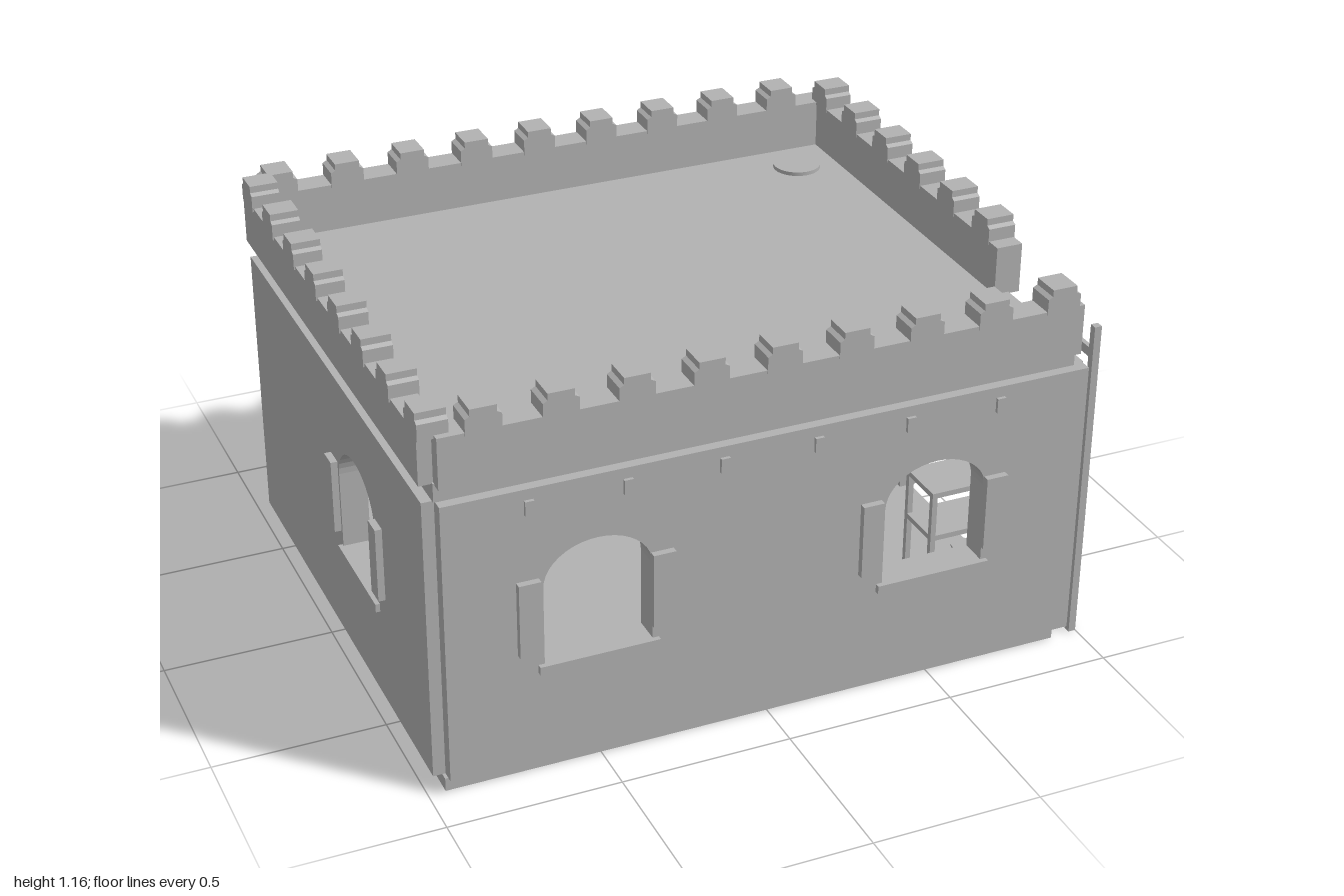
import * as THREE from 'three';

export function createModel() {
  const root = new THREE.Group();
  const stone = new THREE.MeshStandardMaterial({ color: 0xb2b2b2 });
  stone.name = 'stone grey';
  const cloth = new THREE.MeshStandardMaterial({ color: 0xb2b2b2, side: THREE.DoubleSide });
  cloth.name = 'cloth grey';

  const add = (name, geo, mat = stone) => {
    const m = new THREE.Mesh(geo, mat);
    m.name = name;
    root.add(m);
    return m;
  };
  // box from its minimum and maximum corners
  const box = (name, x0, x1, y0, y1, z0, z1) => {
    const m = add(name, new THREE.BoxGeometry(x1 - x0, y1 - y0, z1 - z0));
    m.position.set((x0 + x1) / 2, (y0 + y1) / 2, (z0 + z1) / 2);
    return m;
  };
  // round rod between two points
  const rod = (name, a, b, r) => {
    const p = new THREE.Vector3(...a), q = new THREE.Vector3(...b);
    const m = add(name, new THREE.CylinderGeometry(r, r, p.distanceTo(q), 10));
    m.position.copy(p).lerp(q, 0.5);
    m.quaternion.setFromUnitVectors(new THREE.Vector3(0, 1, 0), q.sub(p).normalize());
    return m;
  };

  // wall panel with arched doors (open at the foot) and arched windows
  const T = 0.08;
  const panel = (name, u0, u1, doors, windows) => {
    const s = new THREE.Shape();
    s.moveTo(u0, 0.05);
    for (const [a, b] of doors) {
      s.lineTo(a, 0.05);
      s.lineTo(a, 0.61);
      s.absellipse((a + b) / 2, 0.61, (b - a) / 2, 0.19, Math.PI, 0, true);
      s.lineTo(b, 0.05);
    }
    s.lineTo(u1, 0.05);
    s.lineTo(u1, 0.9);
    s.lineTo(u0, 0.9);
    s.closePath();
    for (const [a, b] of windows) {
      const h = new THREE.Path();
      h.moveTo(a, 0.35);
      h.lineTo(a, 0.59);
      h.absellipse((a + b) / 2, 0.59, (b - a) / 2, 0.12, Math.PI, 0, true);
      h.lineTo(b, 0.35);
      h.closePath();
      s.holes.push(h);
    }
    return add(name, new THREE.ExtrudeGeometry(s, { depth: T, bevelEnabled: false, curveSegments: 10 }));
  };

  // base, floor and roof
  box('base', -0.95, 0.915, 0, 0.04, -0.7, 0.85);
  box('floor', -0.93, 0.9, 0.04, 0.05, -0.68, 0.83);
  box('roof', -0.95, 0.915, 0.9, 0.955, -0.71, 0.85);
  const hatch = add('roofHatch', new THREE.CylinderGeometry(0.073, 0.073, 0.012, 32));
  hatch.position.set(0.74, 0.961, -0.54);

  // walls
  const frontWindows = [[-0.67, -0.36], [0.33, 0.64]];
  const leftWindow = [0.11, 0.42];
  panel('frontWall', -0.945, 0.945, [], frontWindows).position.z = 0.8;
  panel('backWall', -0.945, 0.915, [[-0.83, -0.18], [0.14, 0.8]], []).position.z = -0.74;
  panel('innerArcade', -0.91, 0.88, [[-0.86, -0.22], [0.1, 0.75]], []).position.z = -0.38;
  const west = panel('windowSideWall', -0.7, 0.84, [], [leftWindow]);
  west.rotation.y = -Math.PI / 2;
  west.position.x = -0.9;
  const east = panel('doorSideWall', -0.7, 0.84, [[-0.01, 0.55]], []);
  east.rotation.y = -Math.PI / 2;
  east.position.x = 0.95;

  // sills, shutters and beam ends
  for (const [a, b] of frontWindows) {
    box('sill', a - 0.018, b + 0.018, 0.33, 0.355, 0.795, 0.895);
    box('shutter', a - 0.075, a - 0.012, 0.4, 0.625, 0.875, 0.9);
    box('shutter', b - 0.005, b + 0.06, 0.4, 0.625, 0.875, 0.9);
  }
  box('sill', -0.993, -0.895, 0.33, 0.355, 0.1, 0.435);
  box('shutter', -1, -0.975, 0.4, 0.625, 0.04, 0.1);
  box('shutter', -1, -0.975, 0.4, 0.625, 0.43, 0.49);
  for (let i = 0; i < 6; i++) {
    const x = -0.705 + i * 0.275;
    box('beamEnd', x - 0.013, x + 0.013, 0.825, 0.868, 0.775, 0.89);
  }

  // parapet, open beside the ladder
  box('frontParapet', -0.945, 0.915, 0.95, 1.1, 0.8, 0.88);
  box('backParapet', -0.945, 0.915, 0.95, 1.1, -0.75, -0.67);
  box('windowSideParapet', -0.985, -0.91, 0.95, 1.1, -0.71, 0.84);
  box('doorSideParapet', 0.87, 0.95, 0.95, 1.1, -0.71, 0.48);

  // merlons with stepped shoulders
  const ms = new THREE.Shape([[-0.05, 1.09], [0.05, 1.09], [0.05, 1.138], [0.037, 1.145],
    [0.037, 1.165], [-0.037, 1.165], [-0.037, 1.145], [-0.05, 1.138]].map(p => new THREE.Vector2(...p)));
  const merlonGeo = new THREE.ExtrudeGeometry(ms, { depth: 0.084, bevelEnabled: false });
  merlonGeo.translate(0, 0, -0.042);
  const merlon = (x, z, turned) => {
    const m = add('merlon', merlonGeo);
    m.position.set(x, 0, z);
    if (turned) m.rotation.y = Math.PI / 2;
  };
  for (let i = 0; i < 9; i++) {
    merlon(-0.82 + i * 0.2085, 0.84, false);
    merlon(-0.88 + i * 0.203, -0.71, false);
  }
  for (let i = 0; i < 8; i++) {
    const z = -0.65 + i * 0.2065;
    merlon(-0.947, i === 7 ? 0.81 : z, true);
    if (i < 6) merlon(0.91, z, true);
  }

  // ladder
  for (const z of [0.612, 0.832]) box('ladderRail', 0.978, 1, 0, 1, z - 0.011, z + 0.011);
  for (let i = 0; i < 10; i++) {
    const y = 0.06 + i * 0.0945;
    box('ladderRung', 0.982, 0.996, y - 0.014, y + 0.014, 0.61, 0.835);
  }

  // sagging awning cloth over the back arches
  const awning = new THREE.PlaneGeometry(0.96, 1, 48, 10);
  const p = awning.attributes.position;
  for (let i = 0; i < p.count; i++) {
    const x = p.getX(i), t = p.getY(i) + 0.5;
    const wave = 0.012 * Math.sin(x * 21) * t;
    p.setXYZ(i, x - 0.018, 0.785 - 0.05 * Math.sin(Math.PI * t) + wave * (1 - 0.5 * t), -0.735 - 0.155 * t);
  }
  awning.computeVertexNormals();
  add('awningCloth', awning, cloth);
  rod('awningBar', [-0.5, 0.787, -0.887], [0.465, 0.787, -0.887], 0.011);
  for (const x of [-0.5, 0.465]) box('awningSide', x - 0.01, x + 0.01, 0.772, 0.79, -0.895, -0.735);
  for (const x of [-0.33, 0.29]) {
    rod('awningBrace', [x, 0.685, -0.735], [x, 0.785, -0.885], 0.011);
    box('awningBracket', x - 0.018, x + 0.018, 0.655, 0.71, -0.752, -0.735);
  }

  // bed against the window side wall
  box('bedFrame', -0.9, -0.6, 0.06, 0.21, 0.28, 0.78);
  box('bedHeadboard', -0.9, -0.6, 0.05, 0.375, 0.265, 0.288);
  box('pillow', -0.87, -0.64, 0.21, 0.245, 0.295, 0.415);

  // open shelf with a pot in the front corner
  for (const x of [0.555, 0.85]) for (const z of [0.61, 0.75]) {
    box('shelfPost', x - 0.008, x + 0.008, 0.05, 0.52, z - 0.008, z + 0.008);
  }
  for (const y of [0.18, 0.365, 0.505]) box('shelfBoard', 0.547, 0.858, y, y + 0.016, 0.602, 0.758);
  const pot = add('pot', new THREE.CylinderGeometry(0.035, 0.028, 0.08, 16));
  pot.position.set(0.7, 0.236, 0.68);

  return root;
}
